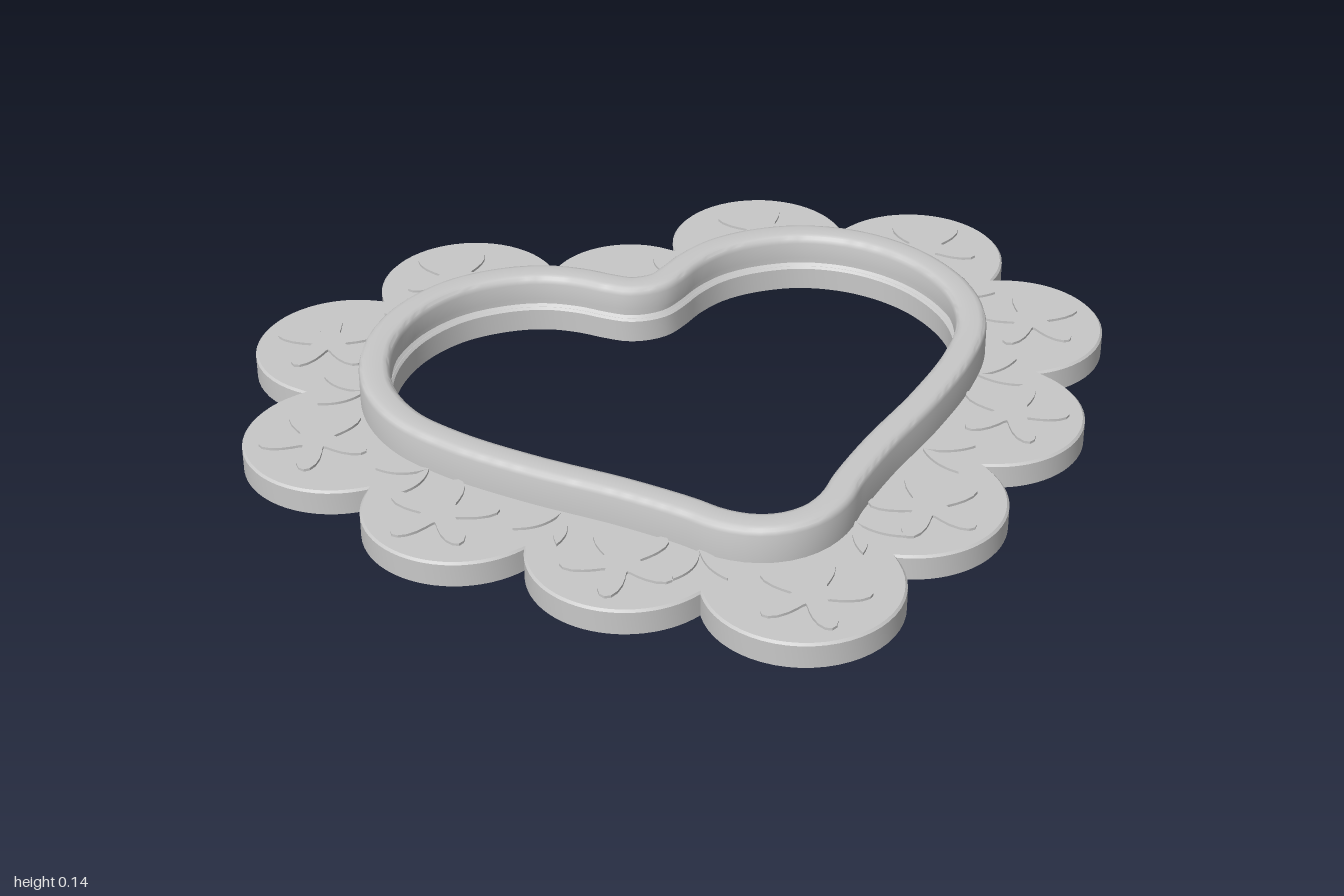
import * as THREE from 'three';
import { toCreasedNormals } from 'three/addons/utils/BufferGeometryUtils.js';

const PLATE = 0.058, DECOR = 0.064, BEVEL = 0.005;

// Extrudes an outline drawn in (x, -z) upwards from y0 to y1, with only the top edge bevelled
function slab(shape, y0, y1, bevel) {
  const geo = new THREE.ExtrudeGeometry(shape, {
    depth: y1 - y0 - bevel, bevelEnabled: bevel > 0, bevelThickness: bevel,
    bevelSize: bevel, bevelOffset: -bevel, bevelSegments: 1, curveSegments: 24,
  });
  geo.rotateX(-Math.PI / 2).translate(0, y0, 0);
  const pos = geo.attributes.position;
  for (let i = 0; i < pos.count; i++) pos.setY(i, Math.max(y0, pos.getY(i)));
  return toCreasedNormals(geo, 0.5);
}

// Inner heart outline, clockwise from the notch as seen from above
function heartPoints() {
  const half = [[0, -0.41], [0.05, -0.419], [0.1, -0.452], [0.15, -0.493], [0.22, -0.53], [0.31, -0.545], [0.42, -0.53],
    [0.53, -0.465], [0.615, -0.35], [0.65, -0.2], [0.625, -0.07], [0.55, 0.045], [0.42, 0.18],
    [0.26, 0.32], [0.15, 0.43], [0.1, 0.489], [0.05, 0.522], [0, 0.532]];
  const all = half.concat(half.slice(1, -1).reverse().map(([x, z]) => [-x, z]));
  const curve = new THREE.CatmullRomCurve3(all.map(([x, z]) => new THREE.Vector3(x, 0, z)), true, 'centripetal');
  const n = 180;
  return Array.from({ length: n }, (_, i) => {
    const p = curve.getPointAt(i / n), t = curve.getTangentAt(i / n);
    return { x: p.x, z: p.z, nx: t.z, nz: -t.x };
  });
}

// Scallop circles [x, z, radius], clockwise from the top one
function scallopCircles() {
  const side = [[0.36, -0.685, 0.21], [0.69, -0.5, 0.213], [0.789, -0.13, 0.211], [0.6, 0.203, 0.21], [0.31, 0.463, 0.212]];
  return [[0, -0.582, 0.192], ...side, [0, 0.676, 0.212], ...side.slice().reverse().map(([x, z, r]) => [-x, z, r])];
}

// Outer crossing of two neighbouring circles
function crossing([ax, az, ar], [bx, bz, br]) {
  const dx = bx - ax, dz = bz - az, d = Math.hypot(dx, dz);
  const a = (ar * ar - br * br + d * d) / (2 * d), h = Math.sqrt(ar * ar - a * a);
  return [ax + (dx * a + dz * h) / d, az + (dz * a - dx * h) / d];
}

function starFlower() {
  const pts = [];
  for (let i = 0; i < 60; i++) {
    const a = i / 60 * Math.PI * 2, r = 0.082 + 0.043 * Math.cos(5 * a);
    pts.push(new THREE.Vector2(r * Math.cos(a), r * Math.sin(a)));
  }
  return new THREE.Shape(pts);
}

function leafShape() {
  const s = new THREE.Shape();
  s.moveTo(0, 0);
  s.quadraticCurveTo(0.06, 0.035, 0.115, 0);
  s.quadraticCurveTo(0.06, -0.025, 0, 0);
  return s;
}

export function createModel() {
  const group = new THREE.Group();
  const grey = new THREE.MeshStandardMaterial({ color: 0xc8c8c8 });
  grey.name = 'grey';
  const add = (geo, name) => {
    const mesh = new THREE.Mesh(geo, grey);
    mesh.name = name;
    group.add(mesh);
    return mesh;
  };
  const heart = heartPoints(), circles = scallopCircles(), count = circles.length;
  const joints = circles.map((c, i) => crossing(c, circles[(i + 1) % count]));

  // Scalloped plate with a heart opening and a hanging hole
  const outline = [];
  circles.forEach(([cx, cz, r], i) => {
    const from = joints[(i + count - 1) % count], to = joints[i];
    const a0 = Math.atan2(from[1] - cz, from[0] - cx);
    let a1 = Math.atan2(to[1] - cz, to[0] - cx);
    while (a1 < a0) a1 += Math.PI * 2;
    for (let k = 0; k < 28; k++) {
      const a = a0 + (a1 - a0) * k / 28;
      outline.push(new THREE.Vector2(cx + r * Math.cos(a), -(cz + r * Math.sin(a))));
    }
  });
  const plate = new THREE.Shape(outline.reverse());
  plate.holes.push(new THREE.Path(heart.map(p => new THREE.Vector2(p.x, -p.z))));
  plate.holes.push(new THREE.Path().absarc(0, 0.563, 0.03, 0, Math.PI * 2, true));
  add(slab(plate, 0, PLATE, BEVEL), 'scallopedPlate');

  // Raised rim: a rounded section with an inner groove, swept round the heart
  const section = [[0.07, 0.05], [0.07, 0.124], [0.067, 0.133], [0.061, 0.138], [0.052, 0.14], [0.018, 0.14],
    [0.009, 0.138], [0.003, 0.132], [0, 0.122], [0, 0.085], [0.012, 0.079], [0.012, 0.064], [0.004, 0.056], [0.004, 0.05]];
  const pos = [], index = [], m = section.length;
  heart.forEach((p, i) => {
    section.forEach(([d, y], k) => {
      pos.push(p.x + p.nx * d, y, p.z + p.nz * d);
      if (k === m - 1) return;
      const a = i * m + k, c = ((i + 1) % heart.length) * m + k;
      index.push(a, a + 1, c, a + 1, c + 1, c);
    });
  });
  const rim = new THREE.BufferGeometry();
  rim.setAttribute('position', new THREE.Float32BufferAttribute(pos, 3));
  rim.setIndex(index);
  add(toCreasedNormals(rim, 0.6), 'heartRim');

  // Low relief flower on every scallop but the one with the hole
  const flowerGeo = slab(starFlower(), PLATE - 0.005, DECOR, 0);
  circles.slice(1).forEach(([x, z]) => {
    const out = Math.atan2(z + 0.05, x);
    const flower = add(flowerGeo, 'flower');
    flower.position.set(x + 0.05 * Math.cos(out), 0, z + 0.05 * Math.sin(out));
    flower.rotation.y = -out;
  });

  // Pair of low relief leaves fanning out between neighbouring scallops
  const leafGeo = slab(leafShape(), PLATE - 0.005, DECOR, 0);
  joints.forEach(([x, z]) => {
    const out = Math.atan2(z + 0.05, x);
    for (const s of [-1, 1]) {
      const leaf = add(leafGeo, 'leaf');
      leaf.position.set(x - 0.14 * Math.cos(out), 0, z - 0.14 * Math.sin(out));
      leaf.rotation.y = -out + s * 0.5;
    }
  });
  return group;
}
